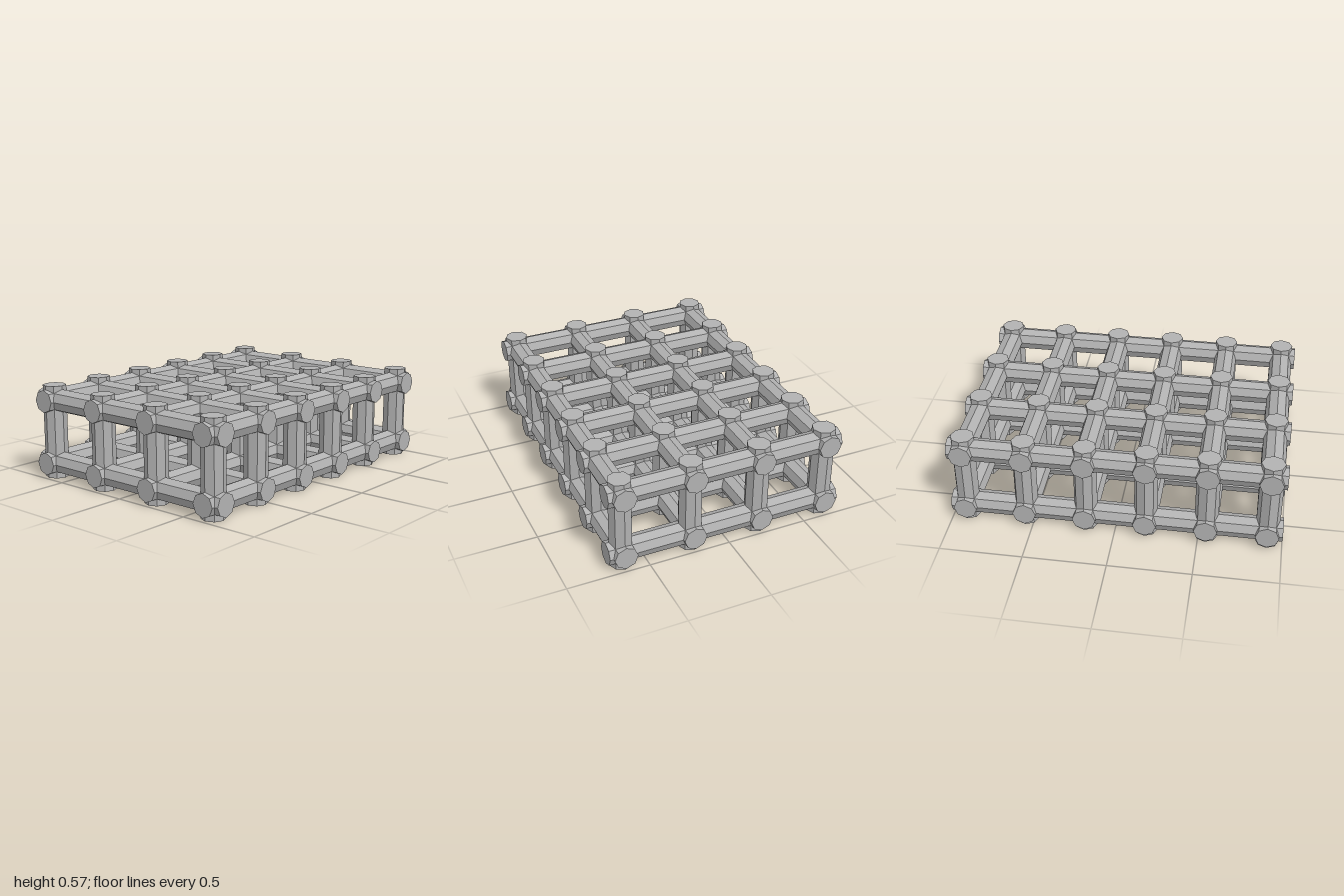
import * as THREE from 'three';

const RADIUS = 0.0706;
const OVERHANG = 0.091; // how far each bar runs past its last crossing
const BASE = 0.0925;

// Evenly spaced crossing positions, centred on zero
const spaced = (count, pitch) =>
  Array.from({ length: count }, (_, i) => (i - (count - 1) / 2) * pitch);

export function createModel() {
  const model = new THREE.Group();
  model.name = 'lattice';
  const grey = new THREE.MeshStandardMaterial({ color: 0xb2b2b2, flatShading: true });
  grey.name = 'grey';

  const xs = spaced(6, 0.3636);
  const zs = spaced(4, 0.4275);
  const ys = [BASE, BASE + 0.39];

  // Octagonal bar with a corner pointing along each cross axis
  const barGeometry = (length) => new THREE.CylinderGeometry(RADIUS, RADIUS, length, 8);
  const lengthwise = barGeometry(xs[5] - xs[0] + 2 * OVERHANG).rotateZ(Math.PI / 2);
  const crosswise = barGeometry(zs[3] - zs[0] + 2 * OVERHANG).rotateX(Math.PI / 2);
  const upright = barGeometry(ys[1] + BASE);

  const addBar = (name, geometry, x, y, z) => {
    const bar = new THREE.Mesh(geometry, grey);
    bar.name = name;
    bar.position.set(x, y, z);
    model.add(bar);
  };

  // Two horizontal layers of crossing bars
  for (const y of ys) {
    for (const z of zs) addBar('lengthwiseBar', lengthwise, 0, y, z);
    for (const x of xs) addBar('crosswiseBar', crosswise, x, y, 0);
  }

  // Posts through every crossing
  for (const x of xs) {
    for (const z of zs) addBar('post', upright, x, (ys[0] + ys[1]) / 2, z);
  }

  return model;
}
